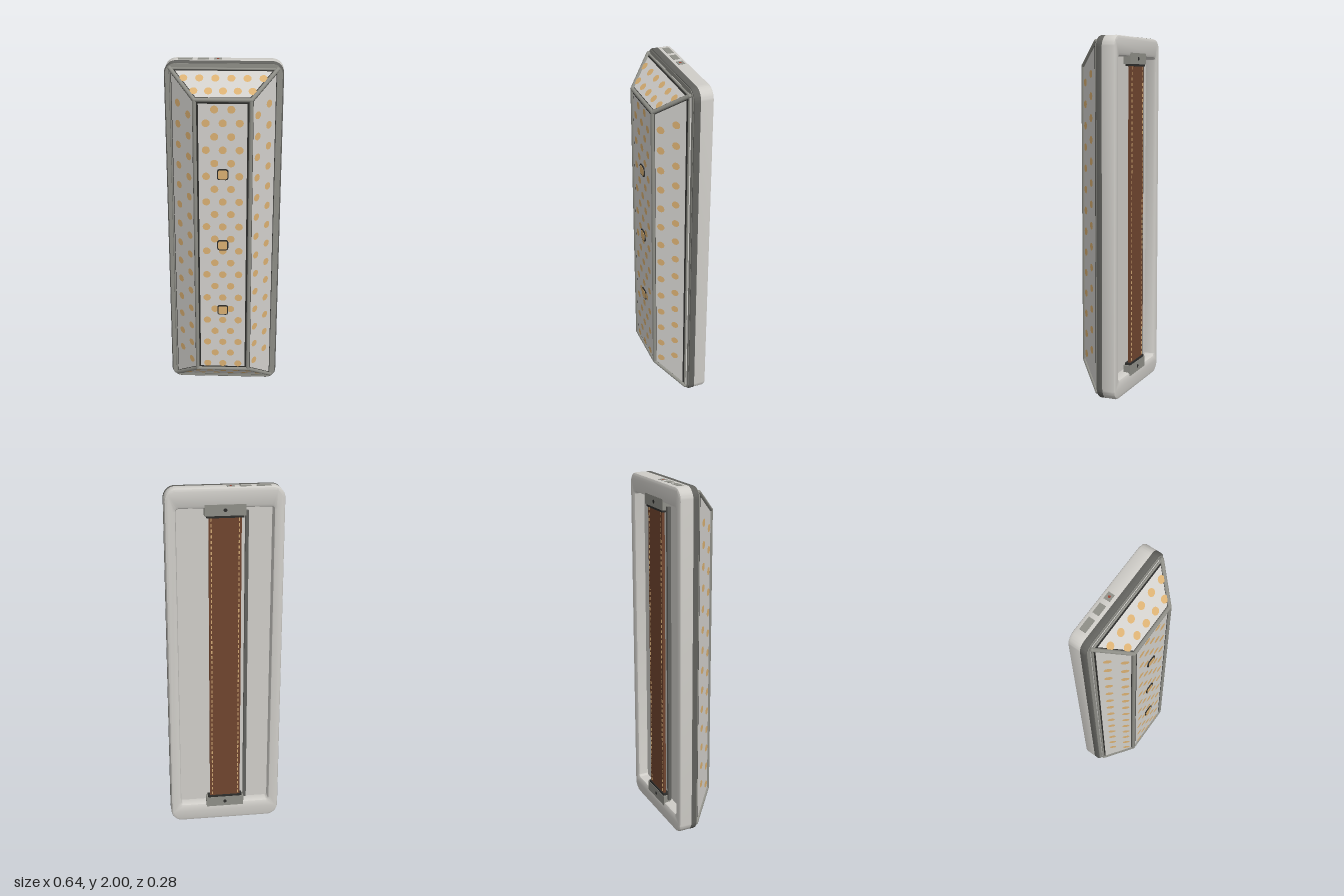
import * as THREE from 'three';
import { mergeGeometries, toCreasedNormals } from 'three/addons/utils/BufferGeometryUtils.js';

const mat = (name, color) => new THREE.MeshStandardMaterial({ name, color });
const V = (x, y, z) => new THREE.Vector3(x, y, z);

// Rounded rectangle outline centred on (cx, cy)
function roundRect(target, cx, cy, w, h, r) {
  const a = cx - w / 2, b = cx + w / 2, c = cy - h / 2, d = cy + h / 2;
  target.moveTo(a + r, c);
  target.lineTo(b - r, c); target.absarc(b - r, c + r, r, -Math.PI / 2, 0);
  target.lineTo(b, d - r); target.absarc(b - r, d - r, r, 0, Math.PI / 2);
  target.lineTo(a + r, d); target.absarc(a + r, d - r, r, Math.PI / 2, Math.PI);
  target.lineTo(a, c + r); target.absarc(a + r, c + r, r, Math.PI, Math.PI * 1.5);
  return target;
}

// Bevelled slab between z0 and z1
function slab(shape, z0, z1, bevel) {
  const g = new THREE.ExtrudeGeometry(shape, {
    depth: z1 - z0 - 2 * bevel, bevelEnabled: bevel > 0, bevelSize: bevel,
    bevelThickness: bevel, bevelSegments: 2, curveSegments: 8,
  });
  g.translate(0, 0, z0 + bevel);
  return toCreasedNormals(g, 0.5);
}

function box(x0, x1, y0, y1, z0, z1) {
  return new THREE.BoxGeometry(x1 - x0, y1 - y0, z1 - z0)
    .translate((x0 + x1) / 2, (y0 + y1) / 2, (z0 + z1) / 2);
}

// Flat quad, corners counter-clockwise seen from outside
function quad(p) {
  const g = new THREE.BufferGeometry().setFromPoints([p[0], p[1], p[2], p[0], p[2], p[3]]);
  g.computeVertexNormals();
  return g;
}

function rod(a, b, r) {
  const d = b.clone().sub(a);
  const q = new THREE.Quaternion().setFromUnitVectors(V(0, 1, 0), d.clone().normalize());
  return new THREE.CylinderGeometry(r, r, d.length(), 10)
    .applyQuaternion(q).translate(...a.clone().add(b).multiplyScalar(0.5).toArray());
}

export function createModel() {
  const M = {
    body: mat('light shell', 0xd0cec9),
    panel: mat('panel grey', 0xd3d1cd),
    rim: mat('dark rim', 0x62625e),
    mid: mat('mid grey trim', 0x8f8f88),
    black: mat('black seal', 0x2d2d2b),
    amber: mat('amber', 0xdbb173),
    strap: mat('brown leather', 0x70452f),
    stitch: mat('tan stitching', 0xd0a873),
    red: mat('red indicator', 0x9a4434),
  };
  const root = new THREE.Group();
  const add = (name, geometry, material) => {
    const m = new THREE.Mesh(geometry, material);
    m.name = name;
    root.add(m);
    return m;
  };

  // Rear shell: an open frame with a recessed floor
  const frame = roundRect(new THREE.Shape(), 0, 1, 0.61, 1.966, 0.05);
  frame.holes.push(roundRect(new THREE.Path(), 0, 1, 0.55, 1.81, 0.03));
  add('rearFrame', slab(frame, -0.14, -0.05, 0.015), M.body);
  add('recessFloor', box(-0.29, 0.29, 0.06, 1.94, -0.08, -0.07), M.body);

  // Dark band around the front half, its front lip and the panel base
  add('rimBand', slab(roundRect(new THREE.Shape(), 0, 1, 0.624, 1.98, 0.055), -0.073, -0.03, 0.008), M.rim);
  add('frontLip', slab(roundRect(new THREE.Shape(), 0, 1, 0.626, 1.982, 0.055), -0.036, -0.028, 0), M.mid);
  add('panelBase', box(-0.29, 0.29, 0.035, 1.965, -0.03, -0.018), M.panel);

  // Raised front: base and top corners, counter-clockwise from lower left
  const ring = (x, y0, y1, z) => [V(-x, y0, z), V(x, y0, z), V(x, y1, z), V(-x, y1, z)];
  const base = ring(0.286, 0.038, 1.966, -0.018);
  const crown = ring(0.15, 0.17, 1.84, 0.125);
  const names = ['bottom', 'right', 'top', 'left'];
  const faces = names.map((n, i) => {
    const j = (i + 1) % 4;
    return { name: n === 'right' ? 'left' : n === 'left' ? 'right' : n, p: [base[i], base[j], crown[j], crown[i]] };
  });
  faces.push({ name: 'front', p: crown });
  const dots = [];

  // Disc lying on a plane with normal n
  const dot = (pos, n) => {
    const q = new THREE.Quaternion().setFromUnitVectors(V(0, 0, 1), n);
    dots.push(new THREE.CircleGeometry(0.0215, 14).applyQuaternion(q)
      .translate(...pos.clone().addScaledVector(n, 0.006).toArray()));
  };

  faces.forEach(({ name, p }, f) => {
    const n = p[1].clone().sub(p[0]).cross(p[3].clone().sub(p[0])).normalize();
    add(name + 'Seal', quad(p), M.black);
    // Light panel inset by an even margin along both edges at each corner
    const inset = f === 4 ? 0.02 : 0.014;
    const inner = p.map((c, i) => {
      const a = p[(i + 1) % 4].clone().sub(c).normalize();
      const b = p[(i + 3) % 4].clone().sub(c).normalize();
      const s = inset / a.clone().cross(b).length();
      return c.clone().addScaledVector(a.add(b), s).addScaledVector(n, 0.003);
    });
    add(name + 'Panel', quad(inner), M.panel);

    const slope = (z) => (z + 0.018) / 0.143;
    if (f === 0 || f === 2) {
      [[0.028, 6, 0.0845], [0.087, 5, 0.0775]].forEach(([z, count, step]) => {
        const y = THREE.MathUtils.lerp(base[f].y, crown[f].y, slope(z));
        for (let i = 0; i < count; i++) dot(V((i - (count - 1) / 2) * step, y, z), n);
      });
    } else if (f === 1 || f === 3) {
      [[0.03, 1.795], [0.092, 1.75]].forEach(([z, top]) => {
        const x = THREE.MathUtils.lerp(base[f].x, crown[f].x, slope(z));
        for (let i = 0; i < 14; i++) dot(V(x, top - i * 0.118, z), n);
      });
    } else {
      for (let i = 0; i < 22; i++) {
        const xs = i % 2 ? [-0.09, 0, 0.09] : [-0.045, 0.045];
        xs.forEach((x) => dot(V(x, 1.79 - i * 0.0752, 0.125), n));
      }
    }
  });
  add('amberDots', mergeGeometries(dots), M.amber);

  // Edge rods with round joints
  const rods = [];
  for (let i = 0; i < 4; i++) {
    const j = (i + 1) % 4;
    rods.push(rod(base[i], base[j], 0.006), rod(crown[i], crown[j], 0.011), rod(base[i], crown[i], 0.011));
    [base[i], crown[i]].forEach((c) =>
      rods.push(new THREE.SphereGeometry(0.0115, 10, 8).translate(c.x, c.y, c.z)));
  }
  add('edgeRods', mergeGeometries(rods), M.mid);

  // Three square lamps on the front
  [0.58, 1.0, 1.425].forEach((y) => {
    add('lampBezel', slab(roundRect(new THREE.Shape(), 0, y, 0.062, 0.062, 0.014), 0.126, 0.134, 0), M.black);
    add('lampLens', slab(roundRect(new THREE.Shape(), 0, y, 0.05, 0.05, 0.01), 0.128, 0.136, 0), M.amber);
  });

  // Buttons and indicator on the top edge
  [[-0.247, -0.17], [-0.142, -0.082], [-0.054, -0.012]].forEach(([a, b]) =>
    add('topButton', box(a, b, 1.985, 1.9995, -0.119, -0.083), M.mid));
  add('indicator', new THREE.CylinderGeometry(0.007, 0.007, 0.002, 12).translate(-0.033, 1.9995, -0.1), M.red);

  // Hand strap with stitching
  add('handStrap', box(-0.088, 0.088, 0.145, 1.855, -0.134, -0.118), M.strap);
  const stitches = [];
  for (const x of [-0.075, 0.075])
    for (let i = 0; i < 56; i++) {
      const y = 0.17 + i * 0.03;
      stitches.push(box(x - 0.003, x + 0.003, y, y + 0.017, -0.136, -0.133));
    }
  add('strapStitching', mergeGeometries(stitches), M.stitch);

  // Strap brackets with screws, mirrored top and bottom
  for (const s of [-1, 1]) {
    const span = (a, b) => (s > 0 ? [1 + a, 1 + b] : [1 - b, 1 - a]);
    add('strapBracket', box(-0.11, 0.11, ...span(0.85, 0.91), -0.1415, -0.1), M.mid);
    add('bracketLip', box(-0.1, 0.1, ...span(0.838, 0.851), -0.139, -0.105), M.black);
    add('bracketScrew', new THREE.CylinderGeometry(0.01, 0.01, 0.004, 12)
      .rotateX(Math.PI / 2).translate(0, 1 + s * 0.88, -0.141), M.black);
  }

  // Slim rail beside the strap
  add('sideRail', box(-0.128, -0.11, 0.13, 1.87, -0.12, -0.1), M.rim);
  return root;
}
